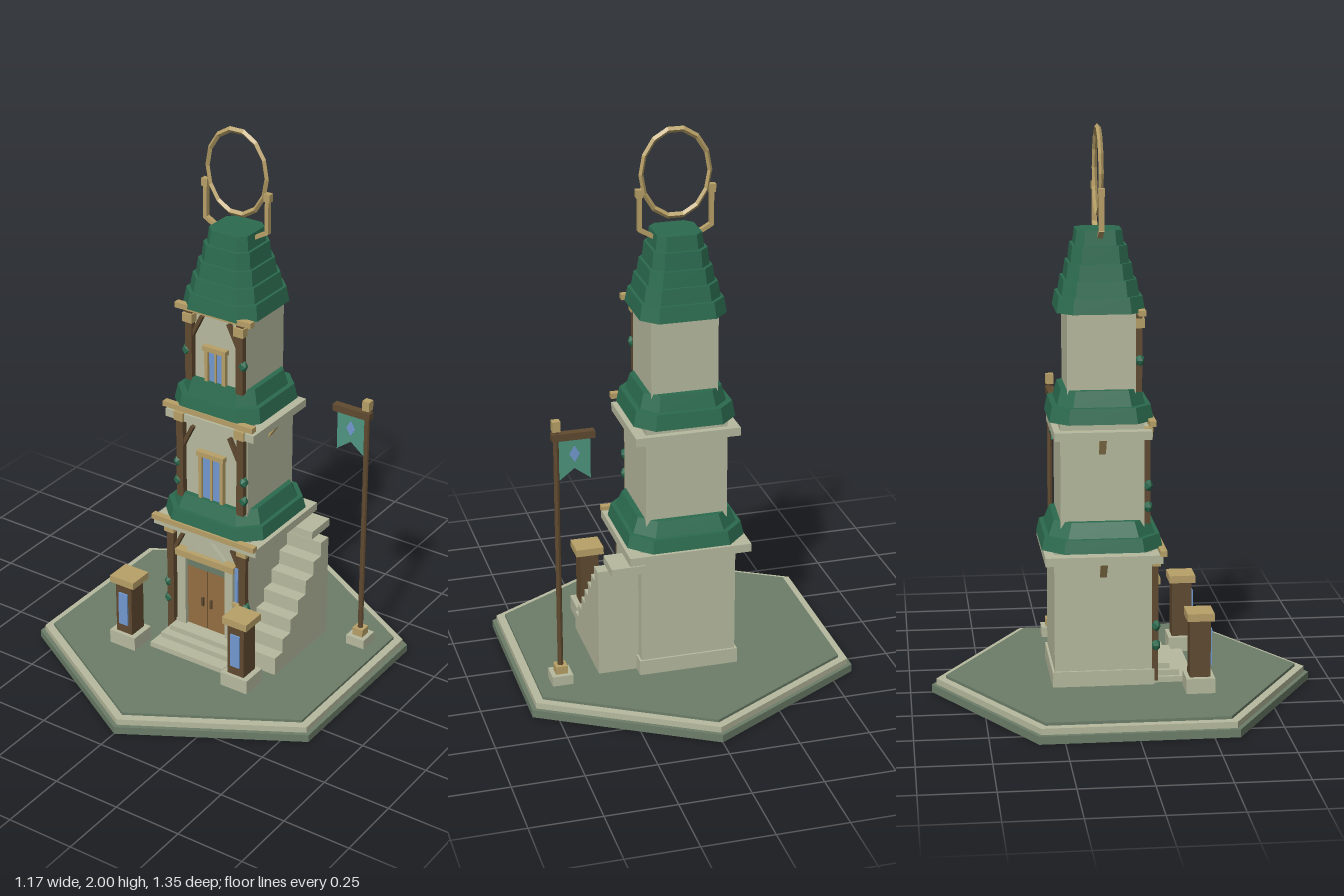
import * as THREE from 'three';

const mat = (name, color) => {
  const m = new THREE.MeshStandardMaterial({ color, flatShading: true });
  m.name = name;
  return m;
};
const CZ = -0.082; // tower axis in z

export function createModel() {
  const stone = mat('pale stone', 0xb7ba9e);
  const paving = mat('green paving', 0x6c7e69);
  const tile = mat('green roof tile', 0x2b6b4f);
  const gold = mat('gold trim', 0xb8a067);
  const wood = mat('dark wood', 0x604a30);
  const doorWood = mat('door wood', 0x946f43);
  const glass = mat('blue glass', 0x7299d0);
  const cloth = mat('teal cloth', 0x4f967f);
  cloth.side = THREE.DoubleSide;

  const model = new THREE.Group();
  const add = (parent, name, geo, material, x = 0, y = 0, z = 0) => {
    const m = new THREE.Mesh(geo, material);
    m.name = name;
    m.position.set(x, y, z);
    parent.add(m);
    return m;
  };
  // box given by its ranges on each axis
  const box = (parent, name, material, x0, x1, y0, y1, z0, z1) =>
    add(parent, name, new THREE.BoxGeometry(x1 - x0, y1 - y0, z1 - z0), material,
      (x0 + x1) / 2, (y0 + y1) / 2, (z0 + z1) / 2);
  const group = (name) => {
    const g = new THREE.Group();
    g.name = name;
    model.add(g);
    return g;
  };
  // flat bar between two points in the xy plane
  const bar = (parent, name, material, x0, y0, x1, y1, z, w, d) => {
    const m = add(parent, name, new THREE.BoxGeometry(w, Math.hypot(x1 - x0, y1 - y0), d),
      material, (x0 + x1) / 2, (y0 + y1) / 2, z);
    m.rotation.z = Math.atan2(x0 - x1, y1 - y0);
    return m;
  };
  const prism = (points, depth) => new THREE.ExtrudeGeometry(
    new THREE.Shape(points.map(p => new THREE.Vector2(...p))), { depth, bevelEnabled: false });

  // hexagonal platform, points towards front and back
  const platform = group('platform');
  const hex = (name, material, r, y0, y1) =>
    add(platform, name, new THREE.CylinderGeometry(r, r, y1 - y0, 6), material, 0, (y0 + y1) / 2, 0);
  hex('lowerCourse', paving, 0.675, 0, 0.028);
  hex('stoneRim', stone, 0.658, 0.028, 0.05);
  hex('pavedTop', paving, 0.625, 0.05, 0.06);

  // chamfered square roof course, tapering upwards
  const course = (parent, hb, ht, y0, y1) => {
    const geo = new THREE.CylinderGeometry(1, 1, y1 - y0, 8, 1, false, Math.PI / 8);
    const p = geo.attributes.position;
    for (let i = 0; i < p.count; i++) {
      const x = p.getX(i), z = p.getZ(i), h = p.getY(i) > 0 ? ht : hb;
      if (Math.hypot(x, z) < 0.1) continue;
      const snap = v => Math.sign(v) * (Math.abs(v) > 0.6 ? 1 : 0.66) * h;
      p.setX(i, snap(x));
      p.setZ(i, snap(z));
    }
    const flat = geo.toNonIndexed();
    flat.computeVertexNormals();
    add(parent, 'roofCourse', flat, tile, 0, (y0 + y1) / 2, CZ);
  };

  // three storeys with corner posts, braces, vines and eaves
  const storeys = [
    { name: 'lowerStorey', h: 0.17, y0: 0.06, y1: 0.55, slab: 0.203, sx: 0.218, sy: 0.505, trim: 0.218, ty: 0.53,
      px: 0.155, leaves: [0.2, 0.27],
      roof: [[0.21, 0.2, 0.545, 0.592], [0.185, 0.165, 0.592, 0.645]] },
    { name: 'middleStorey', h: 0.145, y0: 0.62, y1: 1.0, slab: 0.168, sx: 0.185, sy: 0.935, trim: 0.187, ty: 0.98,
      px: 0.127, leaves: [0.69, 0.765],
      roof: [[0.18, 0.17, 0.99, 1.045], [0.152, 0.138, 1.045, 1.1]] },
    { name: 'upperStorey', h: 0.118, y0: 1.08, y1: 1.38, trim: 0.156, ty: 1.357,
      px: 0.105, leaves: [1.2],
      roof: [[0.152, 0.143, 1.365, 1.42], [0.133, 0.125, 1.42, 1.475], [0.116, 0.109, 1.475, 1.53],
        [0.1, 0.094, 1.53, 1.59], [0.084, 0.078, 1.59, 1.642]] },
  ];
  for (const s of storeys) {
    const g = group(s.name), front = CZ + s.h, top = s.slab ? s.sy : s.ty;
    box(g, 'walls', stone, -s.h, s.h, s.y0, s.y1, CZ - s.h, front);
    if (s.slab) box(g, 'eavesSlab', stone, -s.sx, s.sx, s.sy, s.sy + 0.03, CZ - s.slab, CZ + s.slab);
    const trimZ = CZ + (s.slab || 0.135);
    box(g, 'frontTrim', gold, -s.trim, s.trim, s.ty, s.ty + 0.02, trimZ - 0.01, trimZ + 0.014);
    for (const r of s.roof) course(g, ...r);
    for (const k of [-1, 1]) {
      const x = k * s.px;
      box(g, 'cornerPost', wood, x - 0.014, x + 0.014, s.y0 + 0.01, top, front, front + 0.022);
      box(g, 'postCapital', gold, x - 0.02, x + 0.02, s.ty - 0.045, s.ty - 0.012, front, front + 0.03);
      bar(g, 'brace', wood, x - k * 0.008, top - 0.1, x - k * 0.05, top - 0.015, front + 0.01, 0.013, 0.016);
      s.leaves.forEach((y, i) => {
        const leaf = add(g, 'vineLeaf', new THREE.IcosahedronGeometry(0.021, 0), tile,
          x + k * 0.012, y, front + 0.014);
        leaf.scale.set(0.8, 1.1, 0.8);
        leaf.rotation.y = i;
      });
      if (s.slab) {
        // corbel under each side of the slab
        const pts = [[k * s.h, s.sy - 0.055], [k * (s.sx - 0.005), s.sy], [k * s.h, s.sy]];
        add(g, 'sideCorbel', prism(pts, 0.024), gold, 0, 0, CZ - 0.012);
      }
    }
  }
  box(model, 'plinth', stone, -0.178, 0.178, 0.06, 0.115, CZ - 0.178, CZ + 0.178);

  // upper windows
  const windowAt = (name, hw, y0, y1, z) => {
    const g = group(name);
    box(g, 'pane', glass, -hw, hw, y0, y1, z, z + 0.006);
    for (const k of [-1, 1]) box(g, 'jamb', gold, k * hw - 0.007, k * hw + 0.007, y0, y1, z, z + 0.016);
    box(g, 'mullion', gold, -0.004, 0.004, y0, y1, z, z + 0.012);
    box(g, 'lintel', gold, -hw - 0.012, hw + 0.012, y1 - 0.004, y1 + 0.014, z, z + 0.022);
  };
  windowAt('middleWindow', 0.045, 0.63, 0.82, CZ + 0.145);
  windowAt('upperWindow', 0.036, 1.09, 1.222, CZ + 0.118);

  // entrance
  const entrance = group('entrance'), fz = CZ + 0.17;
  for (const k of [-1, 1]) {
    box(entrance, 'doorLeaf', doorWood, k < 0 ? -0.085 : 0.002, k < 0 ? -0.002 : 0.085, 0.12, 0.365, fz, fz + 0.012);
    box(entrance, 'handle', wood, k * 0.018 - 0.004, k * 0.018 + 0.004, 0.215, 0.25, fz + 0.012, fz + 0.02);
    box(entrance, 'doorJamb', stone, k * 0.102 - 0.017, k * 0.102 + 0.017, 0.115, 0.405, fz, fz + 0.028);
    bar(entrance, 'pedimentEdge', stone, k * 0.078, 0.432, 0, 0.503, fz + 0.016, 0.014, 0.016);
  }
  box(entrance, 'transom', paving, -0.085, 0.085, 0.365, 0.405, fz, fz + 0.014);
  box(entrance, 'lintel', gold, -0.125, 0.125, 0.405, 0.43, fz, fz + 0.034);
  add(entrance, 'pediment', prism([[-0.075, 0.43], [0.075, 0.43], [0, 0.5]], 0.015), stone, 0, 0, fz);
  box(entrance, 'narrowSign', glass, 0.128, 0.142, 0.29, 0.43, fz + 0.023, fz + 0.029);
  box(entrance, 'signFoot', gold, 0.117, 0.146, 0.272, 0.284, fz + 0.015, fz + 0.032);
  [[0.158, 0.235, 0.08], [0.145, 0.187, 0.1], [0.128, 0.155, 0.12]].forEach(([hw, z, y]) =>
    box(entrance, 'entranceStep', stone, -hw, hw, 0.06, y, 0.06, z));

  // solid outside staircase on the left flank
  const stairs = group('sideStairs');
  for (let i = 0; i < 7; i++) {
    const z = 0.137 - i * 0.0495;
    box(stairs, 'stair', stone, 0.16, 0.315, 0.06, 0.13 + i * 0.055, z - 0.0495, z);
  }
  box(stairs, 'landing', stone, 0.16, 0.28, 0.465, 0.495, -0.272, -0.155);

  // lantern pillars
  for (const k of [-1, 1]) {
    const g = group('lanternPillar');
    g.position.set(k * 0.242, 0, 0.243);
    box(g, 'base', stone, -0.055, 0.055, 0.06, 0.113, -0.05, 0.05);
    box(g, 'column', wood, -0.034, 0.034, 0.113, 0.318, -0.036, 0.036);
    box(g, 'lanternPane', glass, -0.019, 0.019, 0.15, 0.28, 0.036, 0.043);
    box(g, 'cap', gold, -0.051, 0.051, 0.317, 0.344, -0.047, 0.047);
  }

  // flagpole with swallow-tailed banner
  const flag = group('flagpole');
  flag.position.set(0.455, 0, -0.217);
  box(flag, 'base', stone, -0.037, 0.037, 0.06, 0.096, -0.037, 0.037);
  box(flag, 'collar', gold, -0.021, 0.021, 0.096, 0.125, -0.021, 0.021);
  add(flag, 'pole', new THREE.CylinderGeometry(0.01, 0.01, 0.91, 8), wood, 0, 0.575, 0);
  box(flag, 'finial', gold, -0.014, 0.014, 1.015, 1.052, -0.014, 0.014);
  box(flag, 'arm', wood, -0.133, 0.016, 0.98, 1.006, -0.014, 0.014);
  add(flag, 'banner', prism([[-0.118, 0.985], [-0.118, 0.83], [-0.062, 0.872], [-0.008, 0.83], [-0.008, 0.985]], 0.006),
    cloth, 0, 0, -0.003);
  const diamond = [[-0.063, 0.895], [-0.045, 0.925], [-0.063, 0.955], [-0.081, 0.925]];
  add(flag, 'bannerDiamond', prism(diamond, 0.009), glass, 0, 0, -0.0045);

  // oval hoop and its two supports on the summit
  const hoop = group('summitHoop');
  const ring = add(hoop, 'ovalRing', new THREE.TorusGeometry(0.125, 0.009, 4, 14), gold, 0, 1.838, CZ);
  ring.scale.set(0.95, 1.21, 1);
  for (const k of [-1, 1]) {
    box(hoop, 'supportArm', gold, k * 0.125 - 0.007, k * 0.125 + 0.007, 1.645, 1.785, CZ - 0.009, CZ + 0.009);
    box(hoop, 'supportClasp', gold, k * 0.126 - 0.012, k * 0.126 + 0.012, 1.762, 1.79, CZ - 0.011, CZ + 0.011);
    bar(hoop, 'supportFoot', gold, k * 0.127, 1.65, k * 0.065, 1.615, CZ, 0.014, 0.018);
  }
  return model;
}
